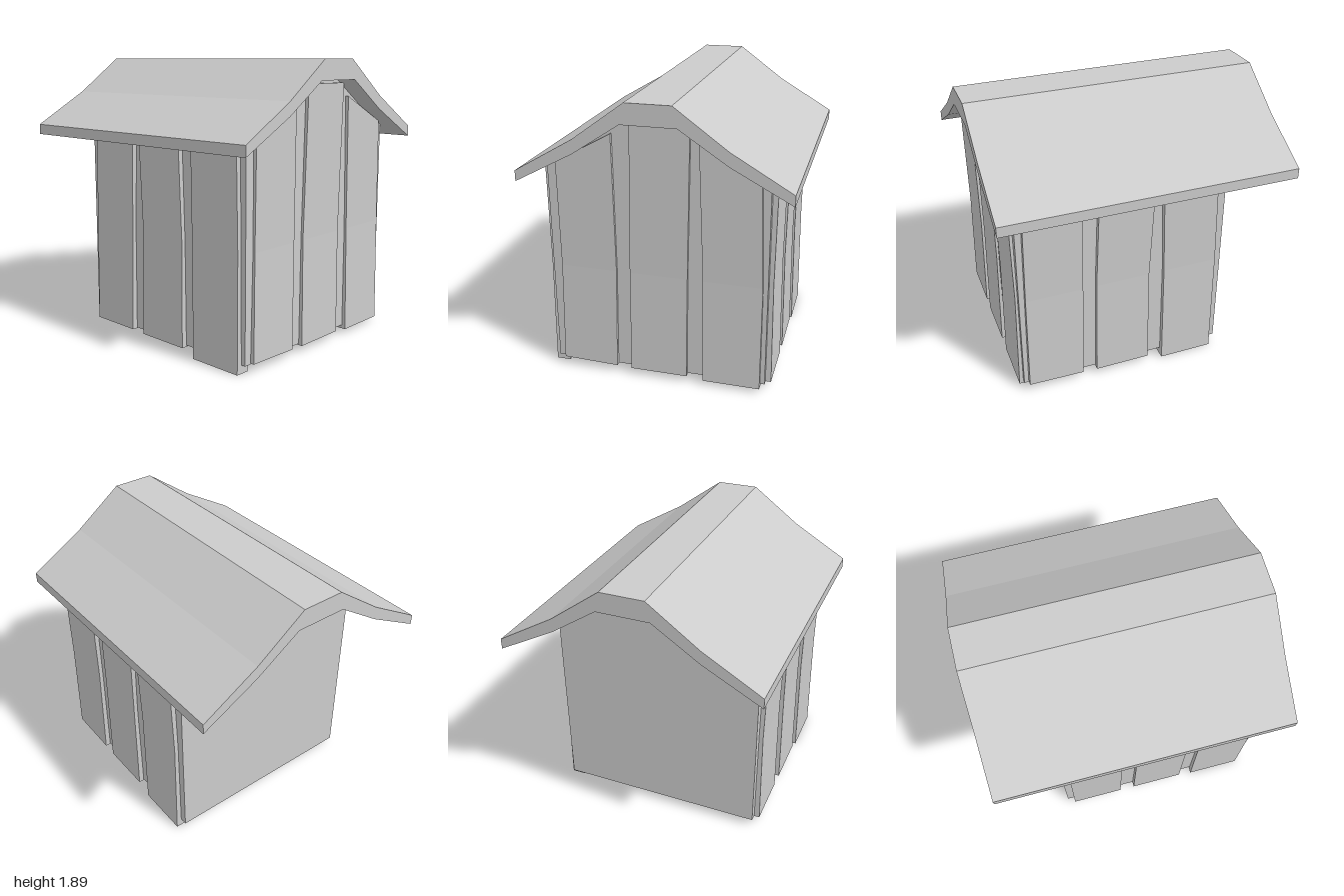
import * as THREE from 'three';

const material = new THREE.MeshStandardMaterial({ color: 0xcccccc, flatShading: true });

// Underside of the roof, right half from eave to ridge
const UNDER = [[0.865, 1.35], [0.48, 1.555], [0.175, 1.757]];
const OUTER = [[0.865, 1.42], [0.48, 1.645], [0.145, 1.89]];

const mirrored = (pts) => [...pts, ...pts.map(([x, y]) => [-x, y]).reverse()];

// Solid with an x/y outline running from z0 to z1
function prism(name, outline, z0, z1) {
  const shape = new THREE.Shape(outline.map(([x, y]) => new THREE.Vector2(x, y)));
  const geometry = new THREE.ExtrudeGeometry(shape, { depth: z1 - z0, bevelEnabled: false });
  geometry.translate(0, 0, z0);
  const mesh = new THREE.Mesh(geometry, material);
  mesh.name = name;
  return mesh;
}

// Crooked board: [left, right] edges at bottom, middle and top,
// the heights of its lower and upper corners, and its depth range
function plank(name, { bottom, middle, top, low, high, inner, outer }) {
  const geometry = new THREE.BoxGeometry(1, 1, 1, 1, 2, 1);
  const p = geometry.attributes.position;
  const rows = [bottom, middle, top];
  for (let i = 0; i < p.count; i++) {
    const side = p.getX(i) > 0 ? 1 : 0;
    const row = Math.round((p.getY(i) + 0.5) * 2);
    const y = [low[side], 0.75, high[side]][row];
    p.setXYZ(i, rows[row][side], y, p.getZ(i) > 0 ? outer[row] : inner);
  }
  const flat = geometry.toNonIndexed();
  flat.computeVertexNormals();
  const mesh = new THREE.Mesh(flat, material);
  mesh.name = name;
  return mesh;
}

export function createModel() {
  const model = new THREE.Group();
  model.name = 'shed';

  // Bent gable roof
  model.add(prism('roof', [...mirrored(OUTER), ...mirrored(UNDER).reverse()], -1, 1));

  // Plain body, its top tucked just into the roof
  const body = mirrored([[0.71, 0.055], [0.71, 1.44], [0.48, 1.562], [0.175, 1.764]]);
  model.add(prism('body', body, -0.56, 0.865));

  // Front boards
  const front = new THREE.Group();
  front.name = 'frontPlanks';
  [
    { bottom: [-0.66, -0.285], middle: [-0.645, -0.27], top: [-0.645, -0.275], low: [0.06, 0.05], high: [1.46, 1.665] },
    { bottom: [-0.185, 0.195], middle: [-0.18, 0.2], top: [-0.155, 0.22], low: [0.045, 0.045], high: [1.735, 1.735] },
    { bottom: [0.305, 0.68], middle: [0.3, 0.68], top: [0.275, 0.655], low: [0.03, 0.03], high: [1.645, 1.46] },
  ].forEach((b, i) => front.add(plank(`frontPlank${i + 1}`, { ...b, inner: 0.8, outer: [0.892, 0.881, 0.888] })));
  model.add(front);

  // Side boards, edges given as z from front to back
  const boards = [
    { bottom: [0.835, 0.455], middle: [0.828, 0.443], top: [0.82, 0.44] },
    { bottom: [0.355, -0.025], middle: [0.35, -0.02], top: [0.33, -0.045] },
    { bottom: [-0.135, -0.51], middle: [-0.128, -0.508], top: [-0.105, -0.485] },
  ];
  const lows = { left: [[0.06, 0.05], [0.045, 0.045], [0, 0]], right: [[0, 0], [0.045, 0.045], [0.05, 0.05]] };
  for (const [side, sign] of [['left', 1], ['right', -1]]) {
    const wall = new THREE.Group();
    wall.name = `${side}Planks`;
    // Edge order flips on the right side so left stays below right
    const edges = (z) => (sign > 0 ? z.map((v) => -v) : [z[1], z[0]]);
    boards.forEach((b, i) => wall.add(plank(`${side}Plank${i + 1}`, {
      bottom: edges(b.bottom), middle: edges(b.middle), top: edges(b.top),
      low: sign > 0 ? lows[side][i] : [...lows[side][i]].reverse(),
      high: [1.415, 1.415], inner: 0.652, outer: [0.747, 0.738, 0.745],
    })));
    wall.rotation.y = sign * Math.PI / 2;
    model.add(wall);
  }
  return model;
}
